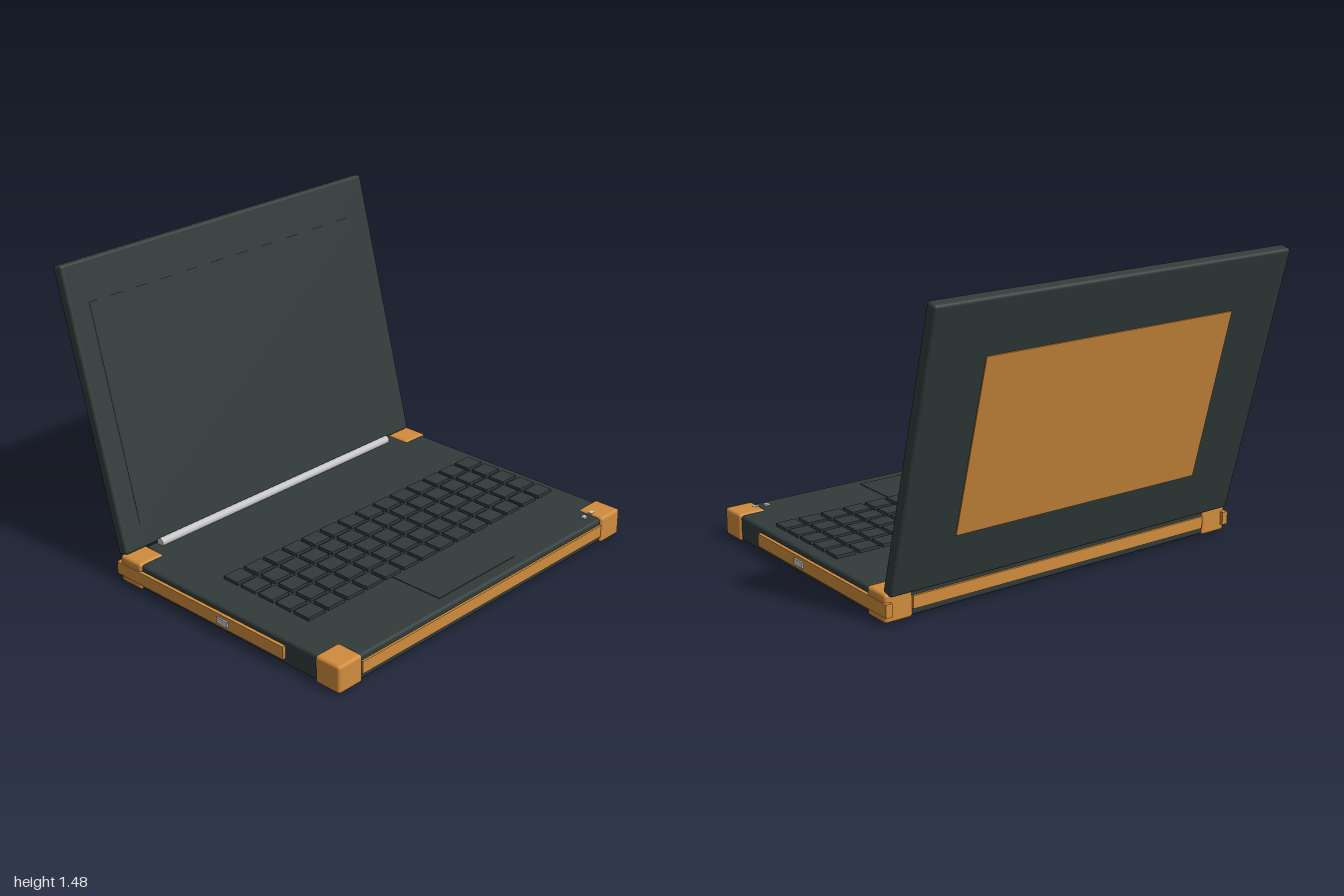
import * as THREE from 'three';
import { RoundedBoxGeometry } from 'three/addons/geometries/RoundedBoxGeometry.js';

const material = (name, color) => {
  const m = new THREE.MeshStandardMaterial({ color });
  m.name = name;
  return m;
};

export function createModel() {
  const dark = material('dark slate', 0x313b3a);
  const orange = material('orange rubber', 0xd08b3c);
  const silver = material('silver', 0xc4c4c6);

  const model = new THREE.Group();
  model.name = 'laptop';

  const group = (name, parent = model) => {
    const g = new THREE.Group();
    g.name = name;
    parent.add(g);
    return g;
  };
  const add = (name, geometry, mat, parent, x, y, z) => {
    const mesh = new THREE.Mesh(geometry, mat);
    mesh.name = name;
    mesh.position.set(x, y, z);
    parent.add(mesh);
    return mesh;
  };
  // Box given by its [min, max] range on each axis; r rounds the edges
  const box = (name, mat, parent, [x0, x1], [y0, y1], [z0, z1], r = 0) => {
    const size = [x1 - x0, y1 - y0, z1 - z0];
    const geometry = r ? new RoundedBoxGeometry(...size, 3, r) : new THREE.BoxGeometry(...size);
    return add(name, geometry, mat, parent, (x0 + x1) / 2, (y0 + y1) / 2, (z0 + z1) / 2);
  };

  // Base body
  const base = group('base');
  box('baseBody', dark, base, [-0.975, 0.975], [0.015, 0.14], [-0.505, 0.875], 0.015);
  box('touchpad', dark, base, [-0.265, 0.265], [0.136, 0.143], [0.53, 0.81]);

  // Bumper strips on the front and back
  box('frontStrip', orange, base, [-0.84, 0.84], [0.05, 0.11], [0.86, 0.886]);
  box('backStrip', orange, base, [-0.84, 0.84], [0.05, 0.11], [-0.516, -0.49]);

  for (const s of [-1, 1]) {
    const span = (a, b) => (s > 0 ? [a, b] : [-b, -a]);
    // Corner guards, side strips, ports and feet
    for (const [z0, z1] of [[0.745, 0.888], [-0.516, -0.373]]) {
      box('cornerGuard', orange, base, span(0.842, 0.986), [0.013, 0.148], [z0, z1], 0.015);
    }
    box('sideStrip', orange, base, span(0.96, 0.992), [0.047, 0.11], [-0.533, 0.56]);
    box('sidePort', silver, base, span(0.97, 1.0), [0.064, 0.094], [0.15, 0.22]);
    for (const z of [0.7, -0.33]) {
      box('foot', dark, base, span(0.61, 0.785), [0, 0.025], [z - 0.03, z + 0.03]);
    }
  }

  // Status lights beside the front corner
  for (const x of [0.8, 0.86]) {
    box('statusLight', silver, base, [x - 0.014, x + 0.014], [0.141, 0.1495], [0.802, 0.823]);
  }

  // Keyboard: five rows of fourteen keys
  const keyboard = group('keyboard');
  const keyGeometry = new THREE.BoxGeometry(0.103, 0.02, 0.09);
  for (let row = 0; row < 5; row++) {
    for (let col = 0; col < 14; col++) {
      add('key', keyGeometry, dark, keyboard, -0.748 + col * 0.1238, 0.145, 0.033 + row * 0.112);
    }
  }

  // Hinge bar
  const hinge = add('hinge', new THREE.CylinderGeometry(0.021, 0.021, 1.57, 24), silver, model, 0, 0.151, -0.466);
  hinge.rotation.z = Math.PI / 2;

  // Lid, hinged at its lower edge and leaning back
  const lid = group('lid');
  lid.position.set(0, 0.143, -0.51);
  lid.rotation.x = -THREE.MathUtils.degToRad(15);
  box('lidShell', dark, lid, [-0.975, 0.975], [0, 1.377], [-0.031, 0.031], 0.015);
  box('screen', dark, lid, [-0.865, 0.865], [0.12, 1.18], [0.025, 0.033]);
  box('backPanel', orange, lid, [-0.68, 0.68], [0.25, 1.11], [-0.036, -0.028]);

  return model;
}
